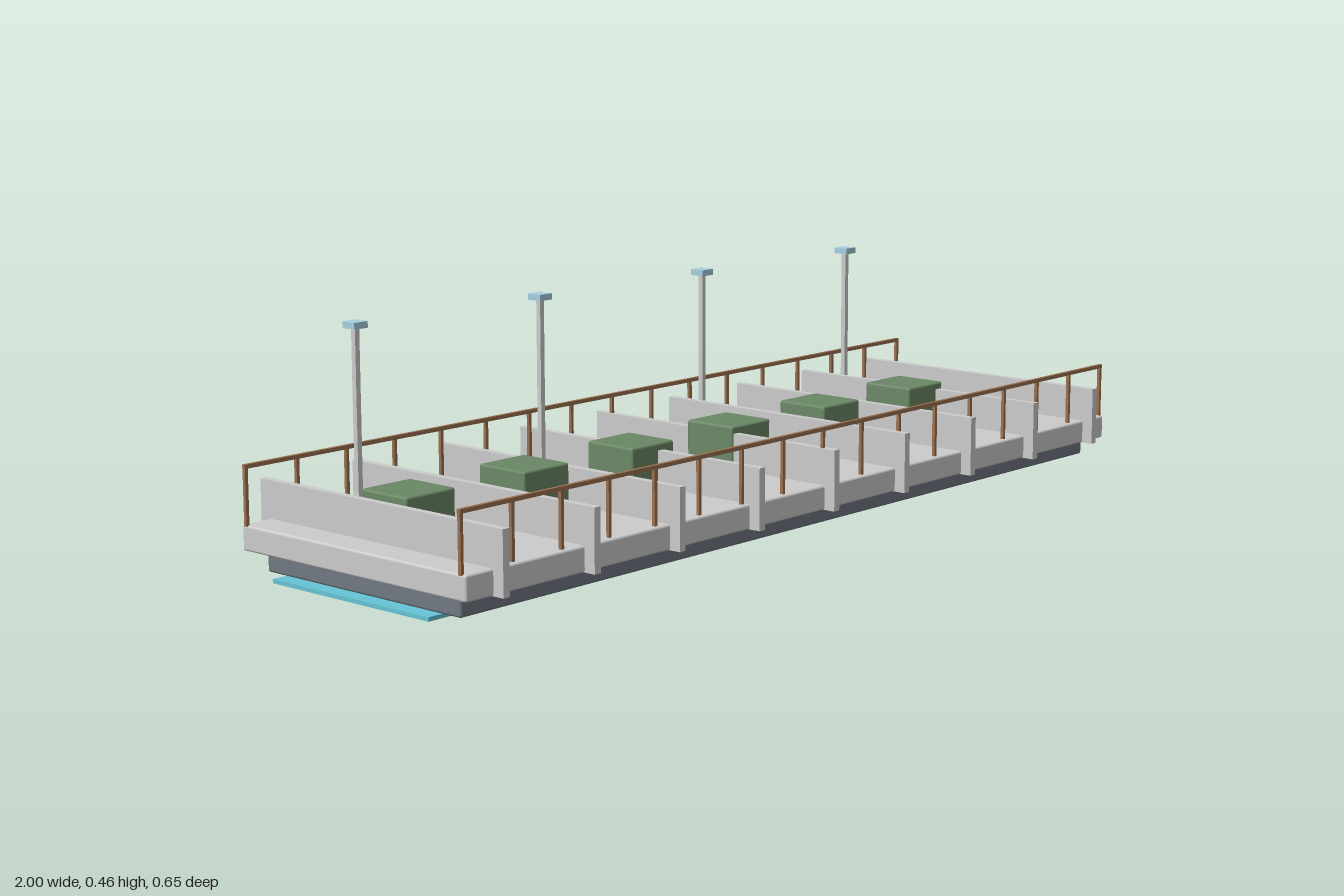
import * as THREE from 'three';
import { RoundedBoxGeometry } from 'three/addons/geometries/RoundedBoxGeometry.js';

const mat = (color) => new THREE.MeshStandardMaterial({ color });

export function createModel() {
  const model = new THREE.Group();
  const grey = mat(0xcccccc), dark = mat(0x707882), brown = mat(0x9a7050);
  const green = mat(0x6b8866), blue = mat(0xa8d0e0), cyan = mat(0x66c4d6);

  // Box given by its centre in x and z, its bottom and top in y; r rounds the edges
  function box(name, material, x, z, y0, y1, w, d, r = 0) {
    const h = y1 - y0;
    const geometry = r ? new RoundedBoxGeometry(w, h, d, 2, r) : new THREE.BoxGeometry(w, h, d);
    const mesh = new THREE.Mesh(geometry, material);
    mesh.name = name;
    mesh.position.set(x, (y0 + y1) / 2, z);
    model.add(mesh);
  }

  // Stacked slabs: light strip, base and deck
  box('lightStrip', cyan, 0, 0, 0, 0.008, 2, 0.42);
  box('base', dark, 0, 0, 0.008, 0.047, 1.94, 0.52, 0.005);
  box('deck', grey, 0, 0, 0.047, 0.097, 1.99, 0.6, 0.005);

  // Cross ribs
  for (let i = -4; i <= 4; i++) box('rib', grey, i * 0.23, 0, 0.047, 0.171, 0.016, 0.65);

  // Planter blocks down the middle
  for (let i = 0; i < 6; i++) box('planter', green, -0.85 + i * 0.299, 0, 0.097, 0.186, 0.122, 0.122, 0.005);

  // Railings on both long sides
  for (const z of [-0.288, 0.288]) {
    box('handrail', brown, 0, z, 0.205, 0.213, 1.995, 0.008);
    for (let i = -8; i <= 8; i++) box('railPost', brown, i * 0.1242, z, 0.095, 0.207, 0.007, 0.007);
  }

  // Lamps along the back
  for (let i = 0; i < 4; i++) {
    const x = -0.75 + i * 0.498;
    box('lampPole', grey, x, -0.249, 0.095, 0.446, 0.011, 0.011);
    box('lampHead', blue, x, -0.249, 0.445, 0.458, 0.034, 0.034);
  }
  return model;
}
